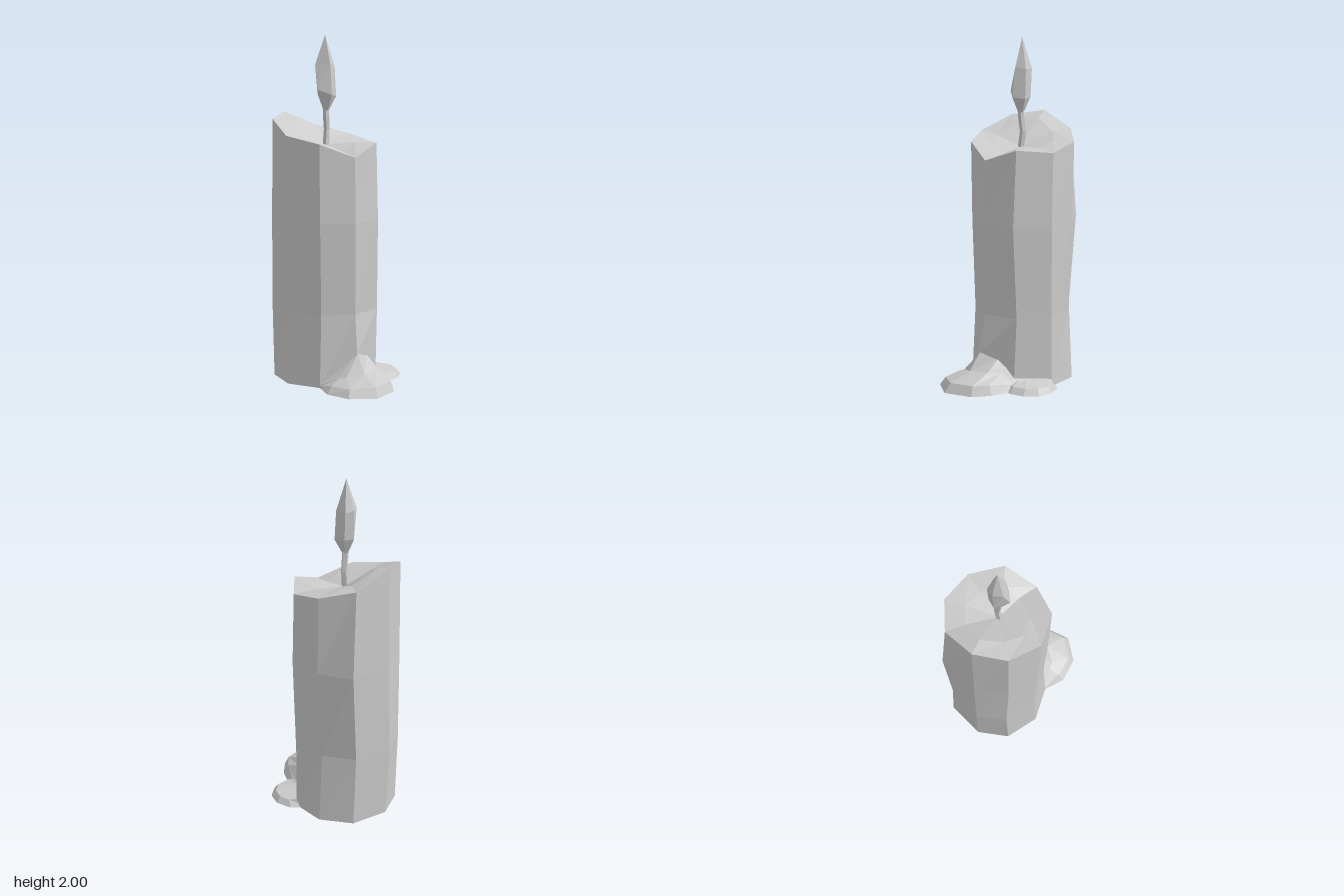
import * as THREE from 'three';

// The wax shells are open underneath, so both sides show
const wax = new THREE.MeshStandardMaterial({
  color: 0xcccccc, flatShading: true, side: THREE.DoubleSide,
});

// Skin a stack of rows of [x, y, z] points; a one-point row closes an end.
// Rows run from +x towards +z towards -x, and the stack goes from bottom to top.
function loft(name, rows, closed = true) {
  const pos = [];
  const tri = (a, b, c) => {
    if (a !== b && b !== c && a !== c) pos.push(...a, ...b, ...c);
  };
  for (let r = 0; r < rows.length - 1; r++) {
    const lo = rows[r], hi = rows[r + 1];
    const n = Math.max(lo.length, hi.length) - (closed ? 0 : 1);
    for (let i = 0; i < n; i++) {
      const a = lo[i % lo.length], b = lo[(i + 1) % lo.length];
      const c = hi[i % hi.length], d = hi[(i + 1) % hi.length];
      tri(a, c, b);
      tri(b, c, d);
    }
  }
  const geo = new THREE.BufferGeometry();
  geo.setAttribute('position', new THREE.Float32BufferAttribute(pos, 3));
  geo.computeVertexNormals();
  const mesh = new THREE.Mesh(geo, wax);
  mesh.name = name;
  return mesh;
}

// Lift a flat [x, z] outline to height y
const level = (outline, y) => outline.map(([x, z]) => [x, y, z]);

function candleBody() {
  // the foot rises at the front, where the wax has run out
  const foot = [[0, 0, -0.41], [0.215, 0, -0.34], [0.308, 0, -0.16], [0.272, 0, 0.045],
    [0.1, 0.06, 0.187], [-0.115, 0.195, 0.21], [-0.25, 0, 0.045], [-0.287, 0, -0.16], [-0.185, 0, -0.345]];
  const low = [[-0.01, -0.427], [0.2, -0.345], [0.282, -0.16], [0.27, 0.045], [0.115, 0.185],
    [-0.09, 0.178], [-0.23, 0.04], [-0.27, -0.16], [-0.18, -0.36]];
  const mid = [[0, -0.415], [0.24, -0.352], [0.306, -0.15], [0.275, 0.06], [0.1, 0.2],
    [-0.1, 0.185], [-0.245, 0.045], [-0.28, -0.16], [-0.19, -0.35]];
  const rim = [[0, 1.55, -0.41], [0.205, 1.46, -0.34], [0.31, 1.41, -0.16], [0.275, 1.37, 0.045],
    [0.11, 1.39, 0.18], [-0.09, 1.32, 0.175], [-0.25, 1.4, 0.045], [-0.29, 1.44, -0.16],
    [-0.185, 1.52, -0.345]];
  // shallow dish in the top
  const dish = [[0.01, 1.515, -0.31], [0.13, 1.45, -0.25], [0.19, 1.41, -0.14], [0.155, 1.38, -0.02],
    [0.06, 1.385, 0.065], [-0.04, 1.34, 0.065], [-0.15, 1.385, -0.02], [-0.18, 1.42, -0.14],
    [-0.11, 1.48, -0.25]];
  return loft('candleBody', [foot, level(low, 0.42), level(mid, 0.95), rim, dish, [[0.005, 1.37, -0.1]]]);
}

function largePuddle() {
  const edge = [[0.1, 0.262], [0.04, 0.35], [-0.055, 0.422], [-0.225, 0.428], [-0.325, 0.305],
    [-0.325, 0.155], [-0.25, 0.045]];
  const shoulder = [[0.1, 0.035, 0.225], [0.015, 0.055, 0.335], [-0.06, 0.055, 0.395],
    [-0.2, 0.055, 0.4], [-0.295, 0.045, 0.29], [-0.29, 0.04, 0.16], [-0.25, 0.01, 0.045]];
  const slope = [[0.1, 0.045, 0.205], [0.04, 0.1, 0.225], [-0.02, 0.11, 0.28], [-0.14, 0.1, 0.28],
    [-0.215, 0.08, 0.205], [-0.225, 0.07, 0.16], [-0.25, 0.015, 0.045]];
  // meets the candle wall
  const crest = [[0.1, 0.065, 0.187], [0.05, 0.125, 0.192], [0, 0.17, 0.193], [-0.11, 0.197, 0.21],
    [-0.13, 0.175, 0.19], [-0.17, 0.12, 0.141], [-0.25, 0.02, 0.044]];
  return loft('largeWaxPuddle', [level(edge, 0), shoulder, slope, crest], false);
}

function smallPuddle() {
  const edge = [[0.272, 0.005], [0.317, 0.06], [0.327, 0.155], [0.285, 0.235], [0.205, 0.28],
    [0.12, 0.274], [0.1, 0.262]];
  const shoulder = [[0.272, 0.02, 0.03], [0.297, 0.035, 0.08], [0.302, 0.035, 0.15],
    [0.266, 0.035, 0.215], [0.205, 0.035, 0.25], [0.125, 0.035, 0.243], [0.1, 0.035, 0.225]];
  // meets the candle wall
  const crest = [[0.272, 0.045, 0.042], [0.25, 0.048, 0.062], [0.22, 0.052, 0.087],
    [0.19, 0.055, 0.112], [0.16, 0.058, 0.137], [0.13, 0.061, 0.162], [0.1, 0.065, 0.187]];
  return loft('smallWaxPuddle', [level(edge, 0), shoulder, crest], false);
}

// Five-sided outline used by the wick
const pentagon = (x, y, z, r) => Array.from({ length: 5 }, (_, i) => {
  const a = i * Math.PI * 2 / 5;
  return [x + r * Math.cos(a), y, z + r * Math.sin(a)];
});

function wick() {
  return loft('wick', [pentagon(0, 1.36, -0.1, 0.02), pentagon(0.012, 1.46, -0.102, 0.018),
    pentagon(0.002, 1.54, -0.1, 0.019), pentagon(0, 1.6, -0.1, 0.017), [[0, 1.6, -0.1]]]);
}

function flame() {
  const belly = [[0.046, 1.65, -0.06], [-0.025, 1.66, -0.037], [-0.07, 1.69, -0.105],
    [0, 1.66, -0.16], [0.046, 1.66, -0.13]];
  const upper = [[0.045, 1.82, -0.07], [-0.015, 1.83, -0.055], [-0.048, 1.83, -0.14],
    [0.005, 1.83, -0.163], [0.05, 1.82, -0.138]];
  const foot = belly.map(([x, , z]) => [x * 0.3, 1.57, -0.1 + (z + 0.1) * 0.3]);
  return loft('flame', [[[0, 1.57, -0.1]], foot, belly, upper, [[0.003, 2, -0.107]]]);
}

export function createModel() {
  const model = new THREE.Group();
  model.name = 'candle';
  model.add(candleBody(), largePuddle(), smallPuddle(), wick(), flame());
  return model;
}
